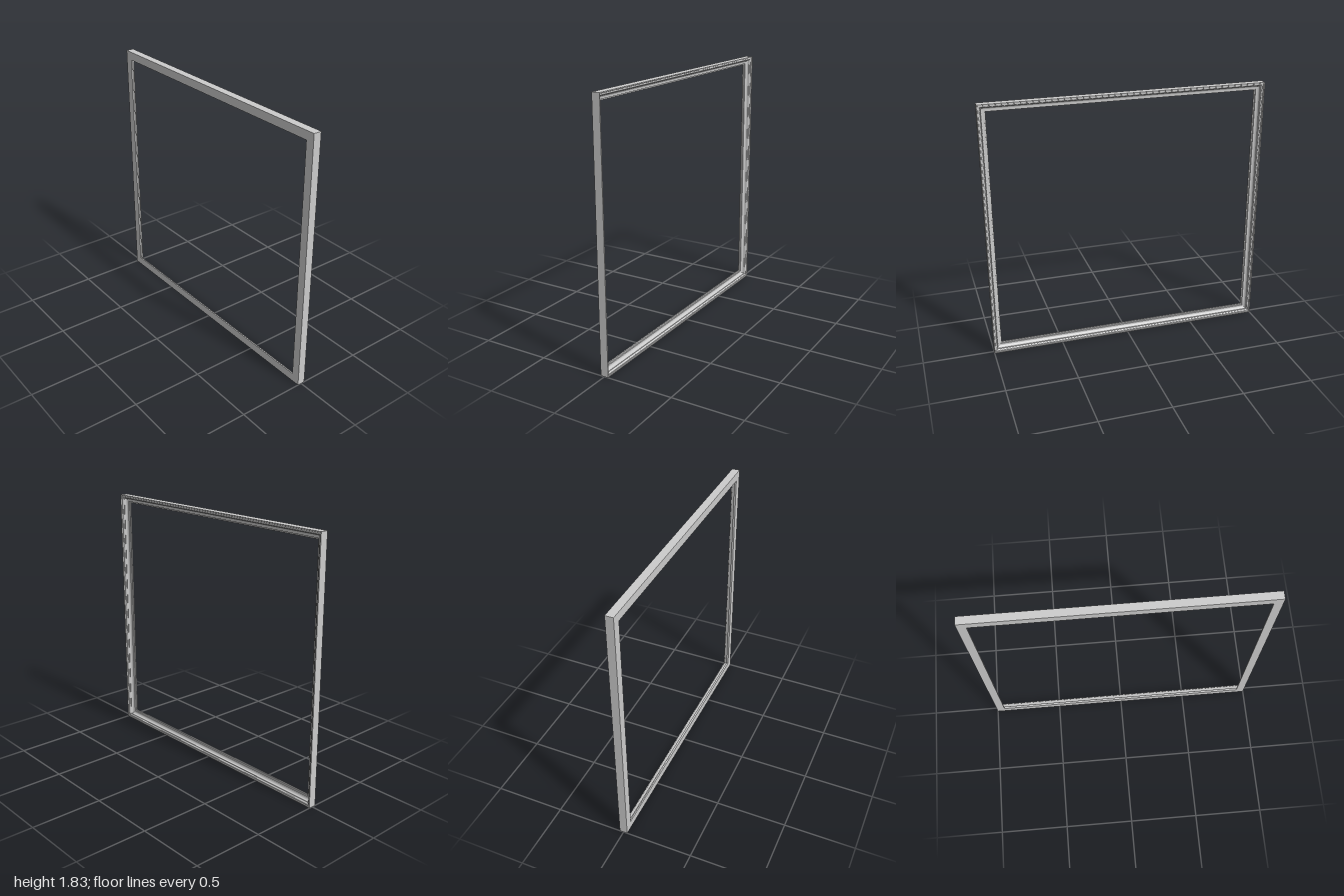
import * as THREE from 'three';
import { toCreasedNormals } from 'three/addons/utils/BufferGeometryUtils.js';

const W = 2, H = 1.83, D = 0.028;

// Moulding section: [distance inward from the outer edge, z]
function mouldingProfile() {
  const pts = [[0, D], [0, -D], [0.007, -D], [0.009, -0.023], [0.013, -0.023]];
  // rounded bead
  for (let i = 0; i <= 6; i++) {
    const a = (i / 6) * Math.PI / 2;
    pts.push([0.013 + 0.010 * Math.sin(a), -0.010 - 0.010 * Math.cos(a)]);
  }
  pts.push([0.027, -0.010]);
  // hollow cove
  for (let i = 0; i <= 6; i++) {
    const a = (i / 6) * Math.PI / 2;
    pts.push([0.047 - 0.020 * Math.cos(a), -0.006 + 0.016 * Math.sin(a)]);
  }
  // inner step and thin sight edge
  pts.push([0.051, 0.010], [0.052, 0.017], [0.06, 0.019], [0.06, D]);
  return pts;
}

// Sweep a section around the rectangle with mitred corners
function mitredFrame(profile) {
  const corners = [[-1, 0], [1, 0], [1, 1], [-1, 1]];
  const at = ([sx, top], [d, z]) => [sx * (W / 2 - d), top ? H - d : d, z];
  const pos = [];
  corners.forEach((c0, k) => {
    const c1 = corners[(k + 1) % 4];
    profile.forEach((p, i) => {
      const q = profile[(i + 1) % profile.length];
      const a = at(c0, p), b = at(c0, q), c = at(c1, q), d = at(c1, p);
      pos.push(...a, ...b, ...c, ...a, ...c, ...d);
    });
  });
  const geo = new THREE.BufferGeometry();
  geo.setAttribute('position', new THREE.Float32BufferAttribute(pos, 3));
  return toCreasedNormals(geo, 0.4);
}

export function createModel() {
  const group = new THREE.Group();
  group.name = 'pictureFrame';
  const frame = new THREE.Mesh(
    mitredFrame(mouldingProfile()),
    new THREE.MeshStandardMaterial({ color: 0xcccccc })
  );
  frame.name = 'mouldedFrame';
  group.add(frame);
  return group;
}
